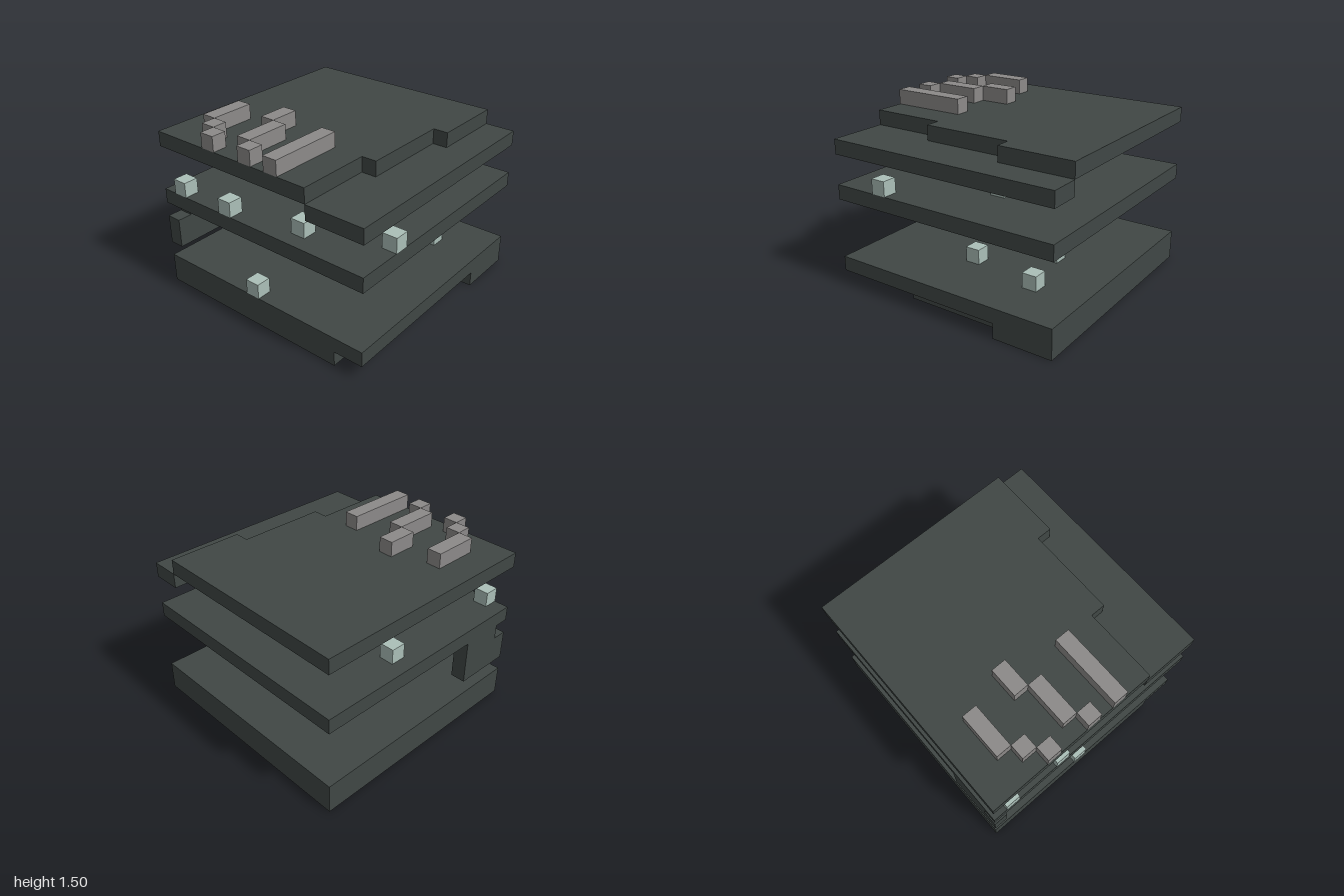
import * as THREE from 'three';

const U = 0.125; // one block

export function createModel() {
  const model = new THREE.Group();
  const slate = new THREE.MeshStandardMaterial({ color: 0x404745 });
  slate.name = 'darkSlate';
  const stone = new THREE.MeshStandardMaterial({ color: 0x8c8a89 });
  stone.name = 'greyStone';
  const mint = new THREE.MeshStandardMaterial({ color: 0xabbfb8 });
  mint.name = 'paleGreen';

  function add(parent, name, geometry, material) {
    const mesh = new THREE.Mesh(geometry, material);
    mesh.name = name;
    parent.add(mesh);
    return mesh;
  }

  // Box from its low corner and size, in blocks
  function block(parent, name, material, x, y, z, w = 1, h = 1, d = 1) {
    const mesh = add(parent, name, new THREE.BoxGeometry(w * U, h * U, d * U), material);
    mesh.position.set((x + w / 2) * U, (y + h / 2) * U, (z + d / 2) * U);
  }

  // One-block-thick layer with an outline of [x, z] corners, in blocks
  function layer(parent, name, y, outline) {
    const shape = new THREE.Shape(outline.map(([x, z]) => new THREE.Vector2(x * U, -z * U)));
    const geometry = new THREE.ExtrudeGeometry(shape, { depth: U, bevelEnabled: false });
    geometry.rotateX(-Math.PI / 2);
    add(parent, name, geometry, slate).position.y = y * U;
  }

  function level(name) {
    const group = new THREE.Group();
    group.name = name;
    model.add(group);
    return group;
  }

  // Bottom level: full slab over a stepped underside
  const bottom = level('bottomLevel');
  block(bottom, 'bottomSlab', slate, -8, 1, -8, 16, 1, 16);
  layer(bottom, 'bottomUnderside', 0,
    [[-8, -8], [-8, 6], [-3, 6], [-3, 7], [4, 7], [4, 8], [8, 8], [8, -8]]);
  for (const [x, z] of [[-8, -1], [-1, 3], [3, 0], [4, 4]]) {
    block(bottom, 'greenCube', mint, x, 2, z);
  }

  // Middle level: slab with a notched wall hanging at the back corner
  const middle = level('middleLevel');
  block(middle, 'middleSlab', slate, -8, 6, -8, 16, 1, 16);
  block(middle, 'hangingWall', slate, -8, 3, -8, 4, 2, 1);
  block(middle, 'hangingWallTop', slate, -7, 5, -8, 3, 1, 1);
  for (const [x, z] of [[-5, 7], [1, 3], [-7, 2], [1, -2], [-8, -3], [-8, -7], [1, -7]]) {
    block(middle, 'greenCube', mint, x, 7, z);
  }

  // Top level: two layers meeting along a stepped seam
  const top = level('topLevel');
  const seam = [[-8, 4], [-3, 4], [-3, 5], [3, 5], [3, 6], [8, 6]];
  layer(top, 'topSlab', 10, [[-8, -8], ...seam, [8, -8]]);
  layer(top, 'frontLedge', 9, [[-8, 8], [8, 8], ...seam.slice().reverse()]);

  // Grey bars on the roof: x, z, length
  const bars = [[-6, -6, 3], [-7, -5, 1], [-8, -4, 1], [-4, -3, 2], [-7, -2, 3], [-8, -1, 1], [-8, 1, 5]];
  for (const [x, z, length] of bars) {
    block(top, 'greyBar', stone, x, 11, z, length);
  }

  return model;
}
